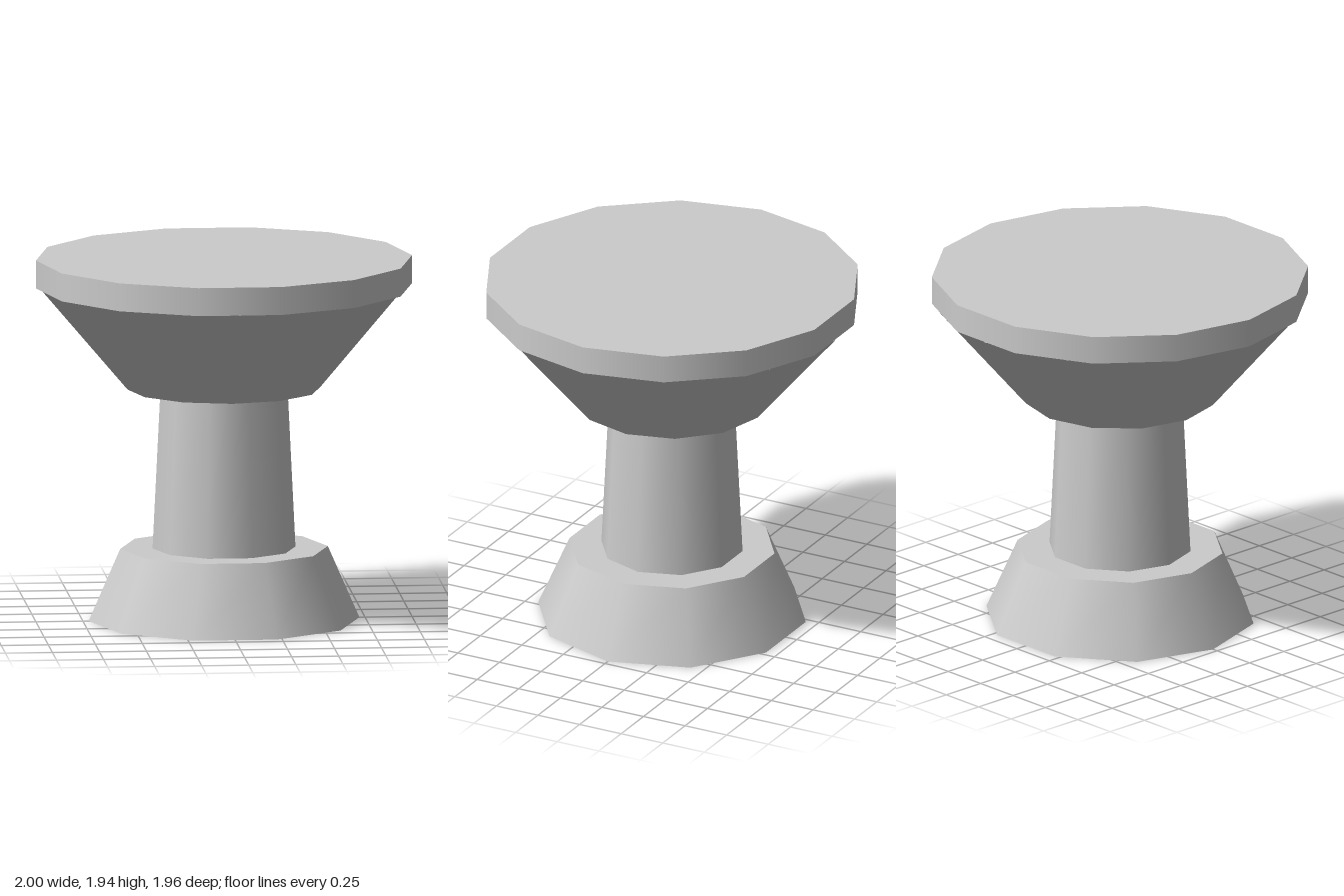
import * as THREE from 'three';

export function createModel() {
  const group = new THREE.Group();
  const material = new THREE.MeshStandardMaterial({ color: 0xcccccc });

  // Tapered round section with a corner pointing along +x
  function section(name, bottomRadius, topRadius, bottom, top, sides) {
    const height = top - bottom;
    const geometry = new THREE.CylinderGeometry(
      topRadius, bottomRadius, height, sides, 1, false, Math.PI / 2);
    const mesh = new THREE.Mesh(geometry, material);
    mesh.name = name;
    mesh.position.y = bottom + height / 2;
    group.add(mesh);
  }

  section('base', 0.72, 0.552, 0, 0.385, 10);
  section('column', 0.38, 0.338, 0.385, 1.24, 10);
  section('flaredSupport', 0.513, 0.98, 1.24, 1.79, 12);
  section('topPlate', 1, 1, 1.79, 1.94, 14);

  return group;
}
